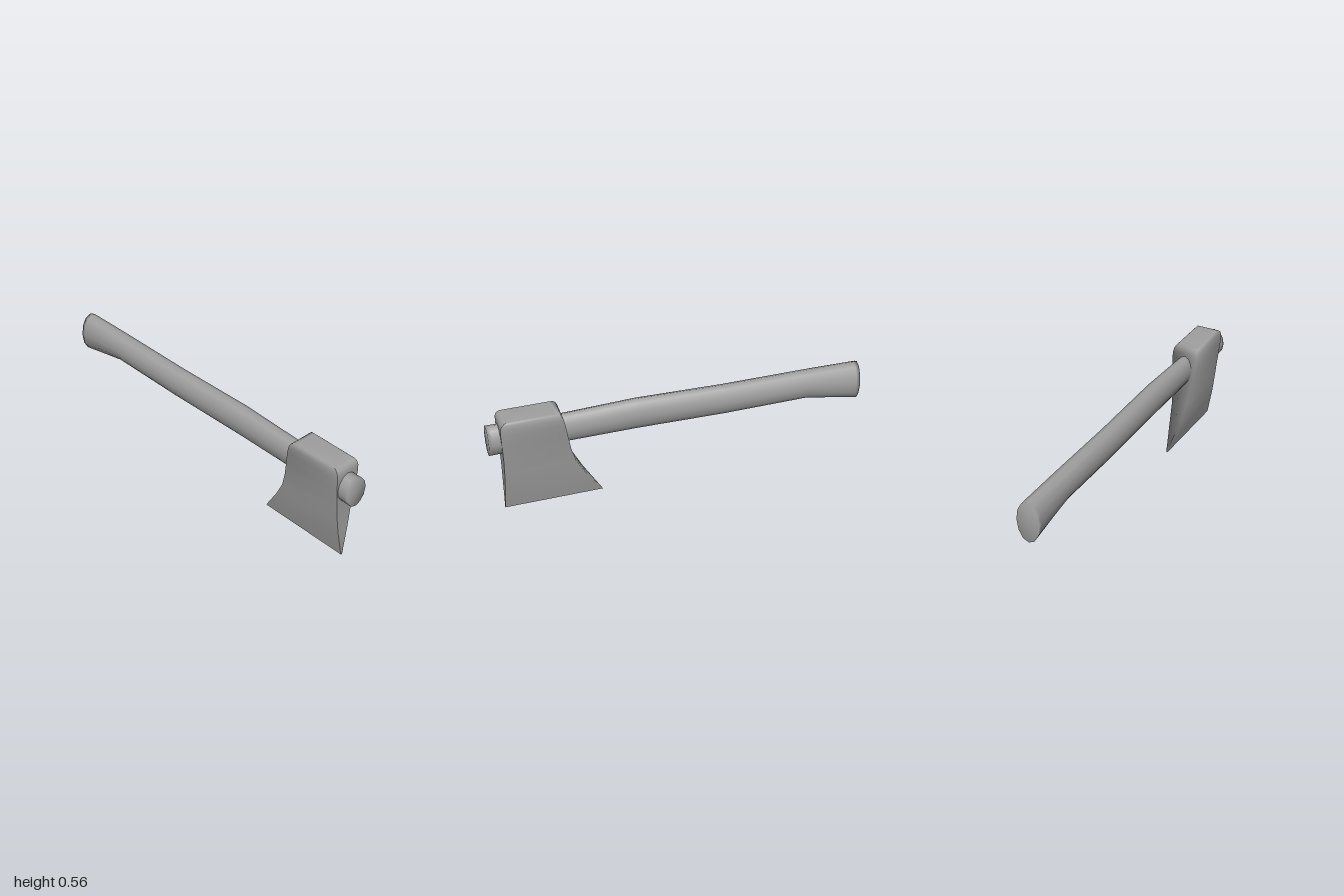
import * as THREE from 'three';

// Skin a stack of equal-length rings and close both ends with fans.
function loft(rings) {
  const n = rings[0].length;
  const points = rings.flat();
  const index = [];
  for (let i = 0; i < rings.length - 1; i++) {
    for (let j = 0; j < n; j++) {
      const a = i * n + j, b = i * n + (j + 1) % n;
      index.push(a, b, b + n, a, b + n, a + n);
    }
  }
  const last = (rings.length - 1) * n;
  for (const [start, flip] of [[0, true], [last, false]]) {
    const centre = new THREE.Vector3();
    for (let j = 0; j < n; j++) centre.addScaledVector(points[start + j], 1 / n);
    const c = points.push(centre) - 1;
    for (let j = 0; j < n; j++) {
      const a = start + j, b = start + (j + 1) % n;
      index.push(c, flip ? b : a, flip ? a : b);
    }
  }
  const geometry = new THREE.BufferGeometry().setFromPoints(points);
  geometry.setIndex(index);
  geometry.computeVertexNormals();
  return geometry;
}

export function createModel() {
  const group = new THREE.Group();
  const material = new THREE.MeshStandardMaterial({ color: 0xa0a0a0 });
  const add = (name, geometry) => {
    const mesh = new THREE.Mesh(geometry, material);
    mesh.name = name;
    group.add(mesh);
  };

  // Handle: twelve-sided ovals from butt to front [z, bottom, top, half width];
  // the close pairs at the ends keep the soft shading near the rims
  const sides = 12;
  const handleSections = [
    [-1, 0.289, 0.513, 0.062],
    [-0.98, 0.293, 0.513, 0.062],
    [-0.71, 0.349, 0.513, 0.059],
    [-0.25, 0.344, 0.513, 0.056],
    [0.23, 0.351, 0.525, 0.053],
    [0.6, 0.349, 0.513, 0.048],
    [0.98, 0.349, 0.513, 0.062],
    [1, 0.349, 0.513, 0.063],
  ];
  add('handle', loft(handleSections.map(([z, bottom, top, w]) =>
    Array.from({ length: sides }, (_, j) => {
      const a = (j / sides) * Math.PI * 2;
      return new THREE.Vector3(
        Math.cos(a) * w, (top + bottom) / 2 + Math.sin(a) * (top - bottom) / 2, z);
    }))));

  // Head: rectangles from cutting edge to poll [y, half width, back z, front z];
  // the front corners are doubled so that the front edges stay sharp
  const headSections = [
    [0, 0.004, 0.42, 0.94],
    [0.15, 0.032, 0.515, 0.935],
    [0.24, 0.044, 0.562, 0.933],
    [0.33, 0.054, 0.587, 0.933],
    [0.42, 0.064, 0.602, 0.936],
    [0.49, 0.072, 0.613, 0.939],
    [0.525, 0.072, 0.62, 0.938],
    [0.543, 0.07, 0.629, 0.931],
    [0.554, 0.066, 0.643, 0.918],
    [0.559, 0.06, 0.66, 0.9],
  ];
  add('axeHead', loft(headSections.map(([y, w, back, front]) => [
    new THREE.Vector3(w, y, front),
    new THREE.Vector3(w, y, back),
    new THREE.Vector3(-w, y, back),
    new THREE.Vector3(-w, y, front),
    new THREE.Vector3(-w, y, front),
    new THREE.Vector3(w, y, front),
  ])));

  return group;
}
